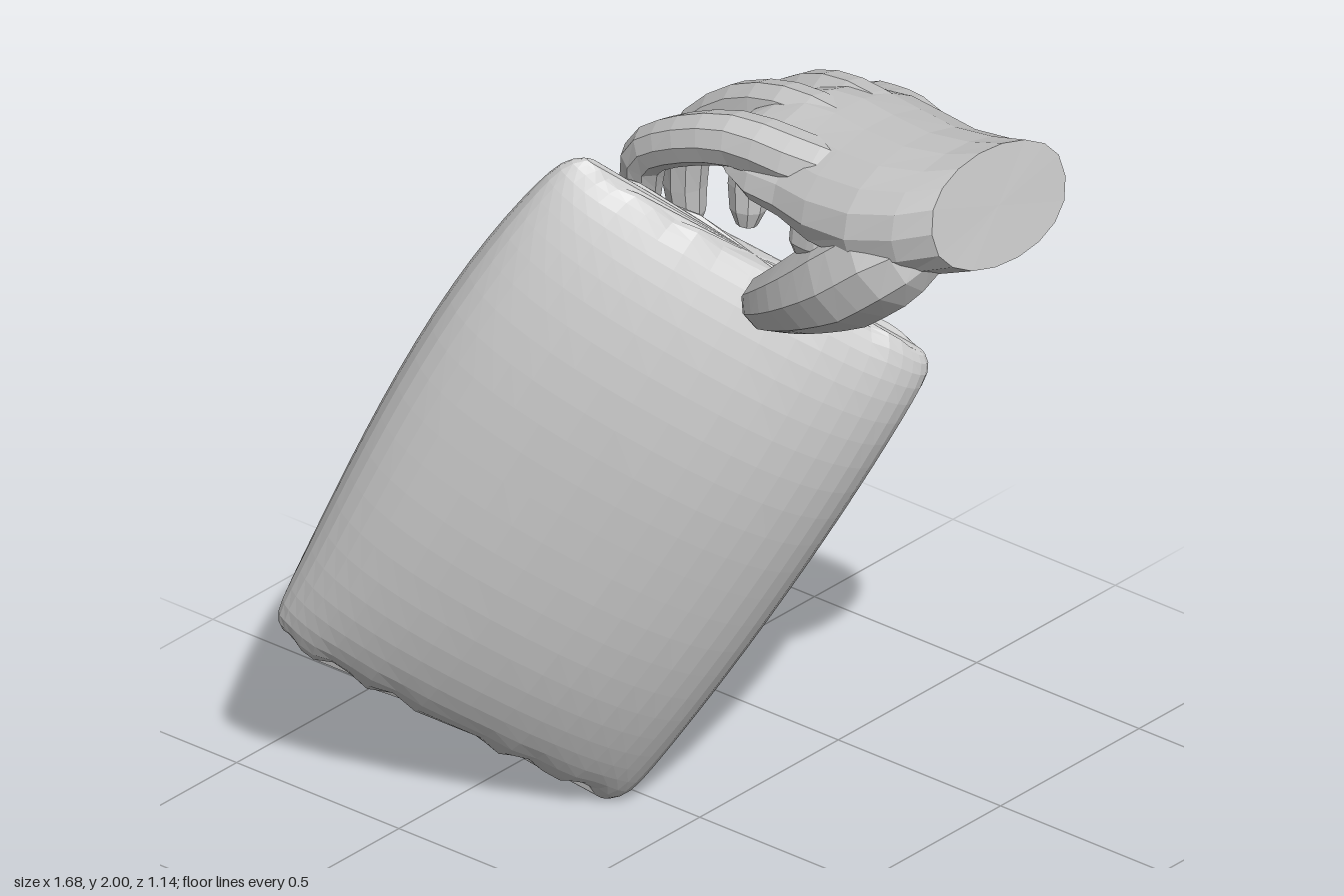
import * as THREE from 'three';

const V = (x, y, z) => new THREE.Vector3(x, y, z);
const material = new THREE.MeshStandardMaterial({ color: 0xcccccc, flatShading: true });
const softPow = (v, p) => Math.sign(v) * Math.pow(Math.abs(v), p);

// Skin a list of equal-sized rings (counter-clockwise about the travel direction) and close both ends
function loft(name, rings) {
  const n = rings[0].length, last = rings.length - 1, pos = [], idx = [];
  for (const ring of rings) for (const p of ring) pos.push(p.x, p.y, p.z);
  for (let i = 0; i < last; i++) {
    for (let j = 0; j < n; j++) {
      const k = (j + 1) % n, a = i * n + j, b = i * n + k;
      idx.push(a, b, a + n, b, b + n, a + n);
    }
  }
  for (const r of [0, last]) {
    const c = V(0, 0, 0);
    rings[r].forEach((p) => c.addScaledVector(p, 1 / n));
    const ci = pos.length / 3;
    pos.push(c.x, c.y, c.z);
    for (let j = 0; j < n; j++) {
      const a = r * n + j, b = r * n + ((j + 1) % n);
      if (r === 0) idx.push(ci, b, a); else idx.push(ci, a, b);
    }
  }
  const g = new THREE.BufferGeometry();
  g.setAttribute('position', new THREE.Float32BufferAttribute(pos, 3));
  g.setIndex(idx);
  g.computeVertexNormals();
  const mesh = new THREE.Mesh(g, material);
  mesh.name = name;
  return mesh;
}

// Stuffed bag: pillow sections between its four corners
function makeBag() {
  const topL = V(-0.23, 1.76, 0.18), topR = V(0.41, 1.22, -0.37);
  const botL = V(-0.85, 0.43, 0.55), botR = V(-0.21, -0.01, 0.04);
  const up = topL.clone().sub(botL).normalize();
  const normal = topR.clone().sub(topL).cross(up).normalize();
  const rings = [], rows = 26, sides = 44;
  for (let i = 0; i <= rows; i++) {
    const t = -Math.cos((i / rows) * Math.PI), k = (t + 1) / 2;
    const left = botL.clone().lerp(topL, k), right = botR.clone().lerp(topR, k);
    const centre = left.clone().add(right).multiplyScalar(0.5);
    const half = right.sub(left).multiplyScalar(0.5);
    const corner = 1.02 - 0.08 * Math.pow(Math.abs(t), 30);
    const thick = 0.03 + 0.19 * Math.pow(Math.max(0, 1 - Math.pow(Math.abs(t), 2.5)), t > 0 ? 0.66 : 0.55);
    const ring = [];
    for (let j = 0; j < sides; j++) {
      const a = (j / sides) * Math.PI * 2, s = Math.cos(a), w = Math.sin(a);
      // the left edge bulges more, chiefly in its upper half
      const bulge = (1 - t * t) * (s < 0 ? 0.13 + 0.06 * t : 0.05);
      // gathered seam, stronger at the bottom
      const seam = Math.pow(Math.abs(t), 20) * (t < 0 ? 0.014 : 0.006) * Math.sin(s * 18);
      ring.push(centre.clone()
        .addScaledVector(half, softPow(s, 0.88) * (corner + bulge))
        .addScaledVector(normal, 0.01 - thick * softPow(w, 0.88))
        .addScaledVector(up, seam));
    }
    rings.push(ring);
  }
  return loft('bag', rings);
}

// Palm and wrist: [x, y, z, half height, half width, arch drop]
function makePalm() {
  const sections = [
    [0.81, 1.855, -0.13, 0.145, 0.212, 0],
    [0.7, 1.82, -0.12, 0.152, 0.238, 0],
    [0.57, 1.795, -0.125, 0.152, 0.262, 0.01],
    [0.42, 1.795, -0.165, 0.13, 0.28, 0.03],
    [0.3, 1.81, -0.2, 0.102, 0.28, 0.05],
    [0.2, 1.815, -0.205, 0.085, 0.27, 0.06],
    [0.12, 1.815, -0.19, 0.06, 0.225, 0.05],
    [0.06, 1.805, -0.17, 0.035, 0.17, 0.02],
  ];
  return loft('palm', sections.map(([x, y, z, ry, rz, drop], i) => {
    const tilt = i === 0 ? 1 : 0.4, ring = [];
    for (let j = 0; j < 18; j++) {
      const a = (j / 18) * Math.PI * 2, c = Math.cos(a), s = Math.sin(a);
      ring.push(V(x - tilt * (0.025 * s + 0.025 * c), y + ry * softPow(s, 0.85) - drop * c * c, z + rz * c));
    }
    return ring;
  }));
}

// Tapered digit along a curve: points are [x, y, z, radius]
function makeDigit(name, points) {
  const curve = new THREE.CatmullRomCurve3(points.map(([x, y, z]) => V(x, y, z)));
  const steps = 12, sides = 9, rings = [];
  const addRing = (t, scale) => {
    const f = t * (points.length - 1), i = Math.min(Math.floor(f), points.length - 2);
    const r = THREE.MathUtils.lerp(points[i][3], points[i + 1][3], f - i) * scale;
    const centre = curve.getPoint(t), dir = curve.getTangent(t);
    const side = V(0, 0, 1).addScaledVector(dir, -dir.z).normalize();
    const over = dir.clone().cross(side);
    rings.push(Array.from({ length: sides }, (_, j) => {
      const a = (j / sides) * Math.PI * 2;
      return centre.clone().addScaledVector(side, r * Math.cos(a)).addScaledVector(over, r * Math.sin(a));
    }));
  };
  for (let i = 0; i < steps; i++) addRing((i / steps) * 0.98, 1);
  addRing(0.96, 0.9);
  addRing(1, 0.55);
  return loft(name, rings);
}

export function createModel() {
  const model = new THREE.Group();
  model.name = 'handHoldingBag';
  model.add(makeBag());

  // Digits start inside the palm so that they merge with it
  const hand = new THREE.Group();
  hand.name = 'hand';
  hand.add(makePalm());
  const digits = {
    thumb: [[0.74, 1.8, -0.05, 0.05], [0.62, 1.725, 0.015, 0.125], [0.49, 1.62, 0.035, 0.125],
      [0.36, 1.53, 0.035, 0.098], [0.25, 1.46, 0.01, 0.077], [0.165, 1.41, -0.02, 0.06]],
    thumbWeb: [[0.66, 1.8, -0.08, 0.08], [0.53, 1.73, -0.03, 0.12], [0.42, 1.69, -0.01, 0.115],
      [0.31, 1.67, 0, 0.065]],
    indexFinger: [[0.5, 1.82, -0.06, 0.06], [0.32, 1.83, -0.025, 0.075], [0.12, 1.835, -0.01, 0.07],
      [-0.06, 1.775, -0.005, 0.063], [-0.18, 1.69, -0.015, 0.057], [-0.22, 1.53, -0.05, 0.048]],
    middleFinger: [[0.5, 1.84, -0.15, 0.055], [0.32, 1.84, -0.18, 0.068], [0.12, 1.835, -0.2, 0.068],
      [-0.08, 1.76, -0.225, 0.062], [-0.23, 1.61, -0.23, 0.058], [-0.25, 1.38, -0.25, 0.048]],
    ringFinger: [[0.5, 1.83, -0.25, 0.055], [0.32, 1.83, -0.3, 0.07], [0.12, 1.81, -0.345, 0.066],
      [-0.04, 1.73, -0.37, 0.06], [-0.14, 1.58, -0.365, 0.056], [-0.15, 1.38, -0.345, 0.047]],
    littleFinger: [[0.52, 1.8, -0.31, 0.05], [0.34, 1.785, -0.395, 0.072], [0.19, 1.76, -0.455, 0.06],
      [0.07, 1.7, -0.51, 0.054], [0.02, 1.57, -0.52, 0.05], [0.03, 1.4, -0.485, 0.042]],
  };
  for (const [name, points] of Object.entries(digits)) hand.add(makeDigit(name, points));
  model.add(hand);
  return model;
}
